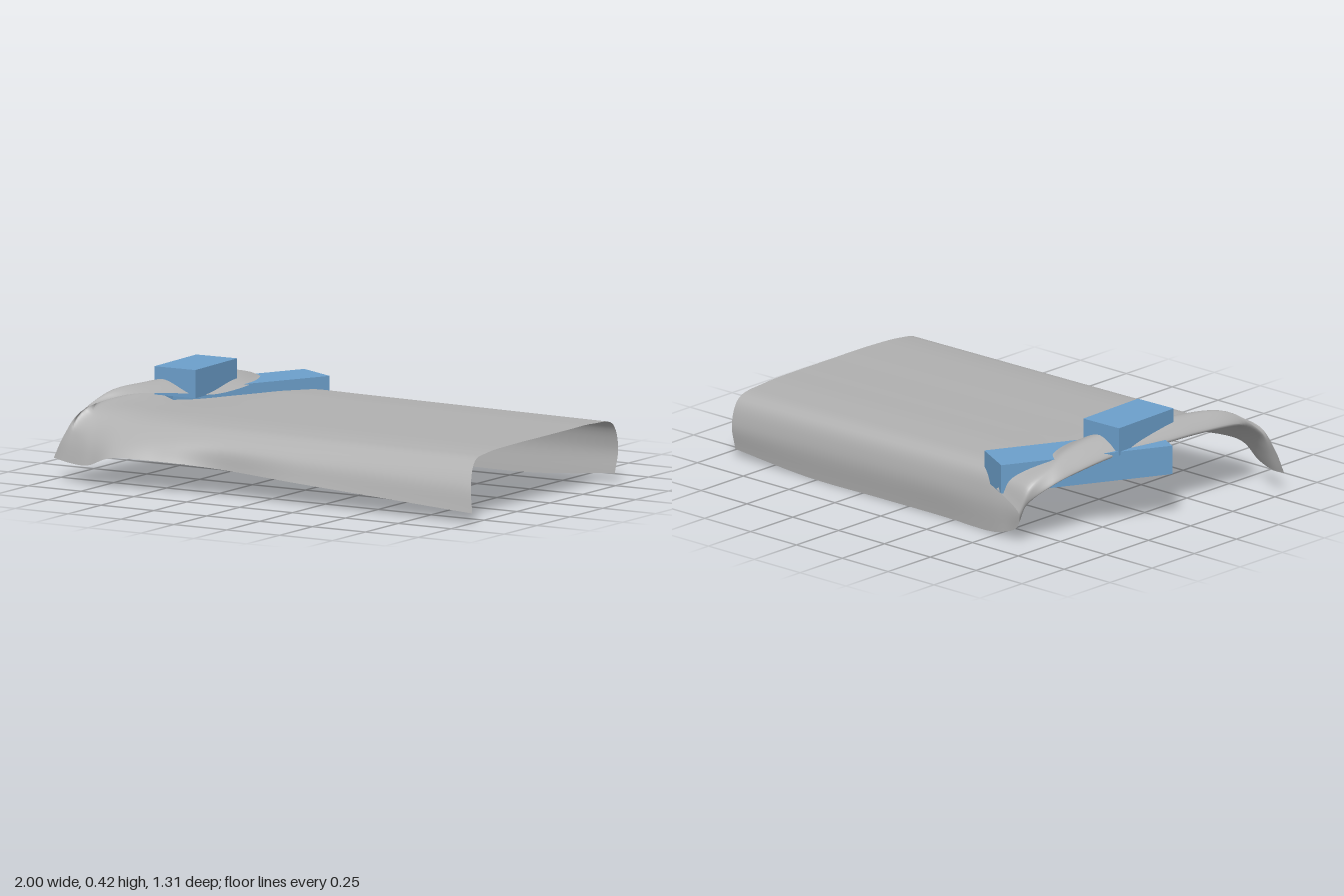
import * as THREE from 'three';

const V = (x, y, z) => new THREE.Vector3(x, y, z);

// Folded end of the cloth: per row, four points from the flat part round the fold to the free edge
const FOLD = [
  [[-.53, .03, -.61], [-.62, .07, -.62], [-.665, .15, -.655], [-.53, .22, -.64]],
  [[-.57, .17, -.605], [-.68, .18, -.625], [-.69, .25, -.62], [-.58, .27, -.61]],
  [[-.60, .265, -.55], [-.735, .25, -.54], [-.70, .31, -.50], [-.64, .325, -.46]],
  [[-.62, .28, -.40], [-.76, .285, -.40], [-.69, .345, -.40], [-.60, .33, -.36]],
  [[-.66, .29, -.20], [-.79, .315, -.20], [-.70, .38, -.20], [-.56, .325, -.22]],
  [[-.70, .29, 0], [-.83, .32, 0], [-.74, .38, 0], [-.59, .315, 0]],
  [[-.72, .295, .20], [-.86, .325, .20], [-.78, .38, .20], [-.65, .34, .18]],
  [[-.73, .29, .40], [-.88, .31, .42], [-.84, .36, .40], [-.77, .35, .37]],
  [[-.71, .26, .50], [-.85, .26, .50], [-.915, .265, .51], [-.90, .29, .51]],
  [[-.69, .20, .59], [-.82, .18, .57], [-.91, .18, .55], [-.96, .19, .545]],
  [[-.67, .14, .655], [-.80, .095, .62], [-.92, .09, .575], [-1, .10, .555]],
];

// Cross-section of the draped part, back hem to front hem: [y, z]
const SECTION = [[.02, -.59], [.15, -.60], [.25, -.56], [.275, -.40], [.278, -.20],
  [.278, 0], [.278, .20], [.27, .40], [.25, .495], [.165, .56], [.05, .59]];

function clothRow(i) {
  const [y, z] = SECTION[i];
  const edge = [.94, .95, .95, .955, .96, .96, .96, .955, .955, .975, 1][i];
  const main = [edge, .55, .15, -.2, -.45].map((x) => {
    const s = (.95 - x) / 1.4;                       // 0 at the open end, 1 at the fold
    const nearFold = x < -.4 ? 1 : 0;
    let py = y + .012 * s, pz = z;
    if (i === 10) { py = .055 + .085 * s; pz += .035 * nearFold - (x === -.2 ? .01 : 0); }
    if (i === 9) { py += .035 * s; pz += .015 * nearFold; }
    if (i === 0) { py = x > .6 ? .045 : .015; pz -= .01 * nearFold; }
    return V(x, py, pz);
  });
  return new THREE.CatmullRomCurve3([...main, ...FOLD[i].map((p) => V(...p))]);
}

// Smooth surface lofted through the rows
function clothGeometry(nu = 72, nv = 60) {
  const rows = SECTION.map((_, i) => clothRow(i));
  const pos = [], index = [];
  for (let a = 0; a <= nu; a++) {
    const column = new THREE.CatmullRomCurve3(rows.map((r) => r.getPoint(a / nu)));
    for (let b = 0; b <= nv; b++) {
      pos.push(...column.getPoint(b / nv).toArray());
      if (a < nu && b < nv) {
        const k = a * (nv + 1) + b, n = k + nv + 1;
        index.push(k, k + 1, n, k + 1, n + 1, n);
      }
    }
  }
  const g = new THREE.BufferGeometry();
  g.setAttribute('position', new THREE.Float32BufferAttribute(pos, 3));
  g.setIndex(index);
  g.computeVertexNormals();
  // Keep the outer face pointing up
  if (g.attributes.normal.getY(20 * (nv + 1) + 30) < 0) {
    g.setIndex(index.reverse());
    g.computeVertexNormals();
  }
  return g;
}

export function createModel() {
  const group = new THREE.Group();
  const grey = new THREE.MeshStandardMaterial({ color: 0xb0b0b0, side: THREE.DoubleSide });
  grey.name = 'clothGrey';
  const blue = new THREE.MeshStandardMaterial({ color: 0x6c9fcb });
  blue.name = 'blockBlue';

  const cloth = new THREE.Mesh(clothGeometry(), grey);
  cloth.name = 'drapedCloth';
  group.add(cloth);

  // Blocks holding the fold
  const block = (name, size, at, turn) => {
    const m = new THREE.Mesh(new THREE.BoxGeometry(...size), blue);
    m.name = name;
    m.position.set(...at);
    m.rotation.y = turn;
    group.add(m);
  };
  block('upperBlock', [.19, .115, .335], [-.70, .373, -.042], .03);
  block('lowerBlock', [.2, .12, .73], [-.645, .27, -.28], -.48);
  return group;
}
